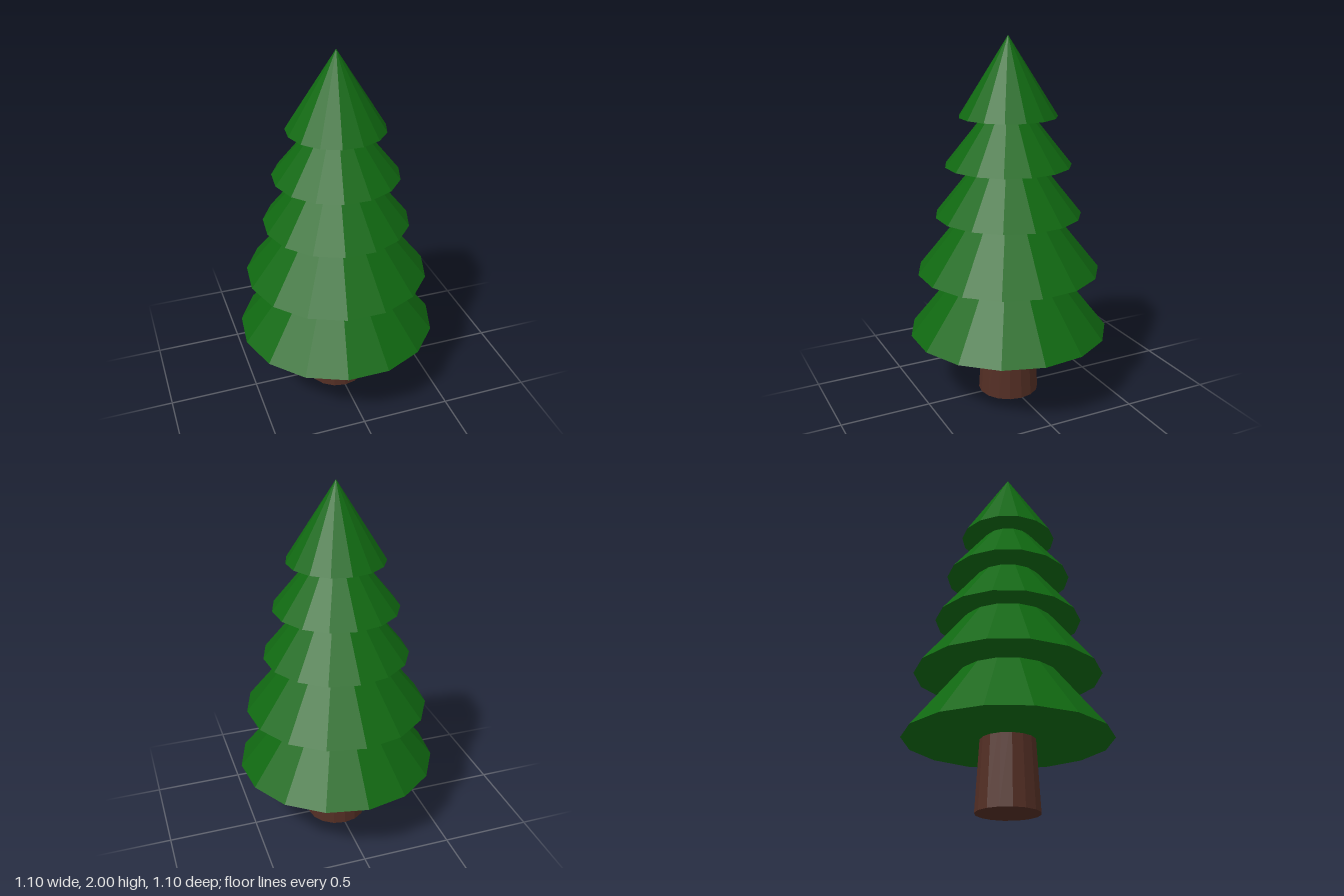
import * as THREE from 'three';

export function createModel() {
  const tree = new THREE.Group();
  tree.name = 'firTree';

  const green = new THREE.MeshStandardMaterial({ color: 0x106811 });
  green.name = 'needleGreen';
  green.flatShading = true;
  const brown = new THREE.MeshStandardMaterial({ color: 0x532e24 });
  brown.name = 'barkBrown';
  brown.flatShading = true;

  // The odd-sided tiers sit slightly forward so the tree is centred
  const axisZ = 0.006;

  // Tapered trunk, its top hidden in the lowest tier
  const trunkHeight = 0.5;
  const trunk = new THREE.Mesh(new THREE.CylinderGeometry(0.141, 0.17, trunkHeight, 16), brown);
  trunk.name = 'trunk';
  trunk.position.set(0, trunkHeight / 2, axisZ);
  tree.add(trunk);

  // Foliage cones from bottom to top: [base height, radius, cone height]
  const tiers = [
    [0.377, 0.554, 0.692],
    [0.732, 0.504, 0.63],
    [1.048, 0.4, 0.5],
    [1.321, 0.343, 0.429],
    [1.581, 0.265, 0.419],
  ];
  tiers.forEach(([base, radius, height], i) => {
    const tier = new THREE.Mesh(new THREE.ConeGeometry(radius, height, 15), green);
    tier.name = `foliageTier${i + 1}`;
    tier.position.set(0, base + height / 2, axisZ);
    tier.rotation.y = Math.PI; // flat side to the front, corner to the back
    tree.add(tier);
  });

  return tree;
}
